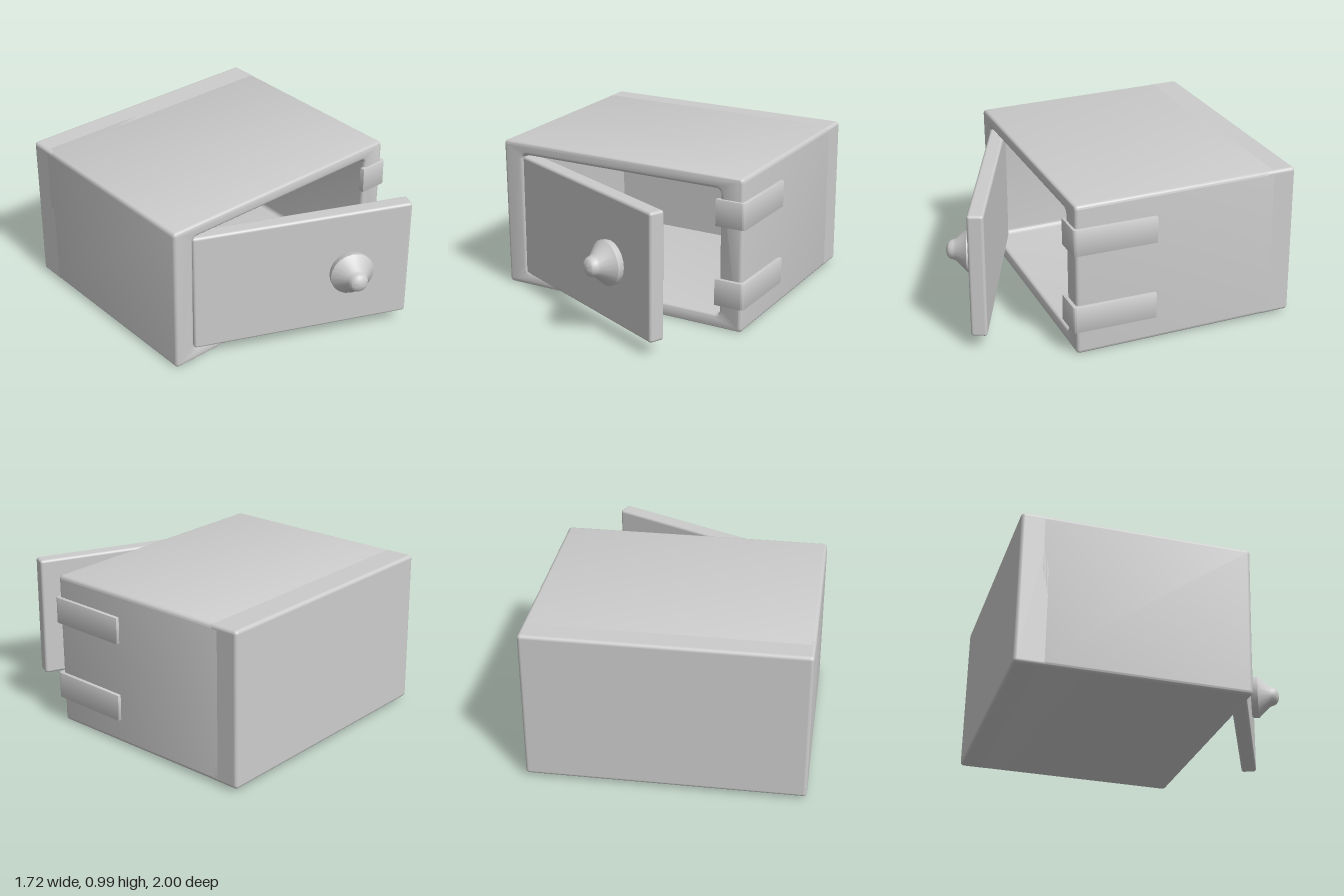
import * as THREE from 'three';
import { toCreasedNormals } from 'three/addons/utils/BufferGeometryUtils.js';
import { RoundedBoxGeometry } from 'three/addons/geometries/RoundedBoxGeometry.js';

const material = new THREE.MeshStandardMaterial({ color: 0xcccccc });

function addPart(parent, name, geometry, x = 0, y = 0, z = 0) {
  const mesh = new THREE.Mesh(geometry, material);
  mesh.name = name;
  mesh.position.set(x, y, z);
  parent.add(mesh);
  return mesh;
}

// Rounded rectangle between two corners
function roundedRect(PathType, x0, y0, x1, y1, r) {
  const p = new PathType();
  p.absarc(x1 - r, y0 + r, r, -Math.PI / 2, 0);
  p.absarc(x1 - r, y1 - r, r, 0, Math.PI / 2);
  p.absarc(x0 + r, y1 - r, r, Math.PI / 2, Math.PI);
  p.absarc(x0 + r, y0 + r, r, Math.PI, Math.PI * 1.5);
  p.closePath();
  return p;
}

// Hollow box, leaning forward very slightly
function createBody() {
  const body = new THREE.Group();
  body.name = 'safeBody';
  const w = 1.695, h = 0.967, d = 1.42, bevel = 0.022;

  const outline = roundedRect(THREE.Shape, -w / 2, -h / 2, w / 2, h / 2, 0.025);
  outline.holes.push(roundedRect(THREE.Path, -0.708, -0.397, 0.697, 0.403, 0.03));
  const wallDepth = 1.3;
  const walls = new THREE.ExtrudeGeometry(outline, {
    depth: wallDepth - 2 * bevel, bevelThickness: bevel, bevelSize: bevel,
    bevelOffset: -bevel, bevelSegments: 4, curveSegments: 5,
  });
  addPart(body, 'walls', toCreasedNormals(walls, 0.6), 0, 0, d / 2 - wallDepth + bevel);

  // Back panel overlaps the rear of the walls
  addPart(body, 'backPanel', new RoundedBoxGeometry(w, h, 0.2, 4, 0.022), 0, 0, -d / 2 + 0.1);

  body.position.set(-0.0125, 0.497, -0.283);
  body.rotation.x = 0.014;
  return body;
}

// Door hung on the left edge of the opening, swung ajar
function createDoor() {
  const door = new THREE.Group();
  door.name = 'door';
  const w = 1.38, h = 0.79, t = 0.1;
  addPart(door, 'doorPanel', new RoundedBoxGeometry(w, h, t, 4, 0.018), w / 2, 0, -t / 2);

  // Knob: rim, cone and small domed tip
  const profile = [
    [0.125, -0.01], [0.136, 0.01], [0.14, 0.045], [0.07, 0.118], [0.063, 0.135],
    [0.06, 0.15], [0.05, 0.166], [0.03, 0.178], [0, 0.184],
  ].map(([r, y]) => new THREE.Vector2(r, y));
  const knob = toCreasedNormals(new THREE.LatheGeometry(profile, 20), 0.5);
  knob.rotateX(Math.PI / 2);
  addPart(door, 'knob', knob, 0.99, -0.01, 0);

  door.position.set(-0.725, 0.485, 0.425);
  door.rotation.y = -THREE.MathUtils.degToRad(23.9);
  return door;
}

// Strap bent around the front right corner
function createStrap() {
  const s = new THREE.Shape();
  const front = -0.448, side = 0.857, r = 0.022;
  s.moveTo(0.665, front);
  s.lineTo(side - r, front);
  s.absarc(side - r, front + r, r, -Math.PI / 2, 0);
  s.lineTo(side, 0.08);
  s.lineTo(0.825, 0.08);
  s.lineTo(0.825, -0.415);
  s.lineTo(0.665, -0.415);
  s.closePath();
  const b = 0.004;
  const strap = new THREE.ExtrudeGeometry(s, {
    depth: 0.168 - 2 * b, bevelThickness: b, bevelSize: b, bevelOffset: -b,
    bevelSegments: 2, curveSegments: 6,
  });
  strap.translate(0, 0, b);
  strap.rotateX(-Math.PI / 2);
  return toCreasedNormals(strap, 0.6);
}

export function createModel() {
  const model = new THREE.Group();
  model.name = 'safe';
  model.add(createBody(), createDoor());

  const strap = createStrap();
  addPart(model, 'lowerStrap', strap, 0, 0.163, 0);
  addPart(model, 'upperStrap', strap, 0, 0.664, 0);
  return model;
}
